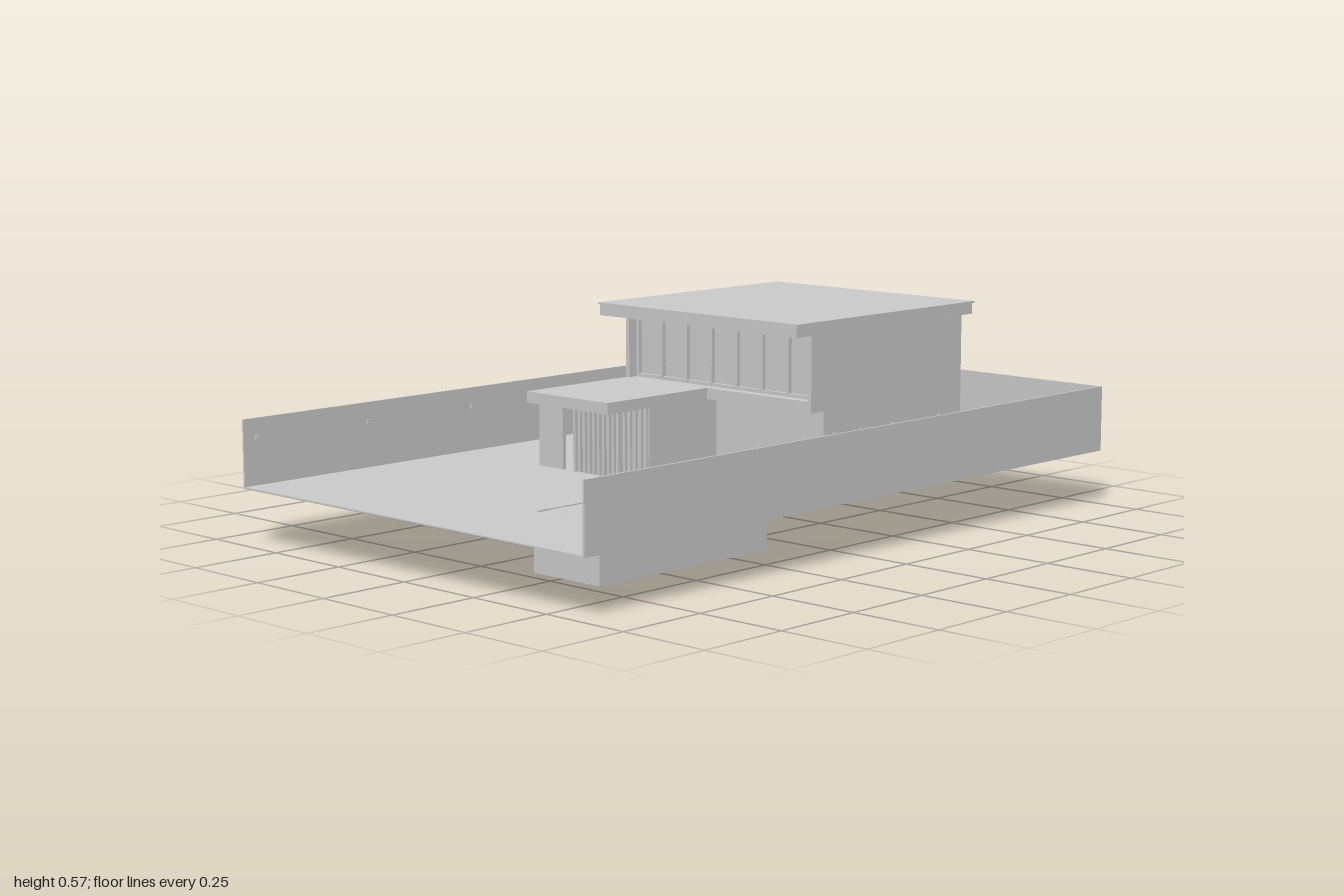
import * as THREE from 'three';

const material = new THREE.MeshStandardMaterial({ color: 0xcccccc, flatShading: true });

// Box given by its limits on each axis
function box(parent, name, [x0, x1], [y0, y1], [z0, z1]) {
  const mesh = new THREE.Mesh(new THREE.BoxGeometry(x1 - x0, y1 - y0, z1 - z0), material);
  mesh.position.set((x0 + x1) / 2, (y0 + y1) / 2, (z0 + z1) / 2);
  mesh.name = name;
  parent.add(mesh);
  return mesh;
}

function section(parent, name) {
  const group = new THREE.Group();
  group.name = name;
  parent.add(group);
  return group;
}

function rectangle(Type, [x0, x1], [z0, z1]) {
  return new Type().moveTo(x0, -z0).lineTo(x0, -z1).lineTo(x1, -z1).lineTo(x1, -z0).closePath();
}

// Flat slab with a rectangular opening, extruded upward
function openSlab(parent, name, outer, inner, [y0, y1]) {
  const shape = rectangle(THREE.Shape, ...outer);
  shape.holes.push(rectangle(THREE.Path, ...inner));
  const geometry = new THREE.ExtrudeGeometry(shape, { depth: y1 - y0, bevelEnabled: false });
  geometry.rotateX(-Math.PI / 2).translate(0, y0, 0);
  const mesh = new THREE.Mesh(geometry, material);
  mesh.name = name;
  parent.add(mesh);
}

function buildPlot(model) {
  const plot = section(model, 'plot');
  const basin = [[-0.705, -0.115], [0.155, 0.375]];
  openSlab(plot, 'lawn', [[-1, 1], [-0.627, 0.627]], basin, [0.15, 0.154]);

  // Boundary walls on three sides
  box(plot, 'frontBoundaryWall', [-1, 1], [0.15, 0.33], [0.621, 0.627]);
  box(plot, 'backBoundaryWall', [-1, 1], [0.15, 0.33], [-0.627, -0.621]);
  box(plot, 'sideBoundaryWall', [0.993, 1], [0.15, 0.33], [-0.621, 0.621]);
  for (const side of [-1, 1]) {
    for (let i = 0; i < 6; i++) {
      const x = -0.96 + i * 0.37;
      const z = side * 0.618;
      box(plot, 'boundaryLight', [x - 0.004, x + 0.004], [0.272, 0.284], [z - 0.003, z + 0.003]);
    }
  }
  for (let i = 0; i < 5; i++) {
    const z = -0.27 + i * 0.09;
    box(plot, 'groundLight', [0.742, 0.75], [0.154, 0.157], [z - 0.004, z + 0.004]);
  }

  // Pool tub below the lawn
  const pool = section(plot, 'pool');
  openSlab(pool, 'poolWalls', [[-0.71, -0.11], [0.15, 0.38]], basin, [0, 0.1535]);
  box(pool, 'poolFloor', [-0.705, -0.115], [0, 0.005], [0.155, 0.375]);

  // Rippled water surface
  const water = new THREE.PlaneGeometry(0.59, 0.22, 48, 20).rotateX(-Math.PI / 2);
  const p = water.attributes.position;
  for (let i = 0; i < p.count; i++) {
    const x = p.getX(i), z = p.getZ(i);
    p.setY(i, 0.0012 * (Math.sin(25 * x + 60 * z) + Math.sin(70 * z - 18 * x + 2 * Math.sin(30 * x))));
  }
  water.computeVertexNormals();
  const surface = new THREE.Mesh(water, material);
  surface.position.set(-0.41, 0.15, 0.265);
  surface.name = 'water';
  pool.add(surface);

  // Ladder handrails
  for (const x of [-0.422, -0.392]) {
    const curve = new THREE.CatmullRomCurve3([
      [0.138, 0.152], [0.138, 0.172], [0.147, 0.18], [0.16, 0.172], [0.162, 0.12],
    ].map(([z, y]) => new THREE.Vector3(x, y, z)));
    const rail = new THREE.Mesh(new THREE.TubeGeometry(curve, 20, 0.0025, 6), material);
    rail.name = 'ladderRail';
    pool.add(rail);
  }
  for (const y of [0.125, 0.142]) box(pool, 'ladderRung', [-0.422, -0.392], [y, y + 0.003], [0.159, 0.165]);
}

function buildGroundFloor(house) {
  const floor = section(house, 'groundFloor');
  const y = [0.154, 0.33];
  box(floor, 'mainRooms', [0.13, 0.63], y, [-0.31, 0.355]);
  box(floor, 'entranceHall', [-0.13, 0.13], y, [-0.31, -0.02]);
  box(floor, 'frontWall', [0.125, 0.70], y, [0.355, 0.366]);

  // Porch screen with upright slats
  box(floor, 'porchPier', [-0.255, -0.243], y, [-0.31, -0.22]);
  for (let i = 0; i < 10; i++) {
    const z = -0.18 + i * 0.018;
    box(floor, 'porchSlat', [-0.255, -0.24], y, [z, z + 0.008]);
  }
  for (let i = 0; i < 6; i++) {
    const x = -0.25 + i * 0.02;
    box(floor, 'porchSlat', [x, x + 0.009], y, [-0.025, -0.012]);
  }

  // Small lights on the front wall
  for (const x of [0.16, 0.27, 0.4, 0.6]) {
    box(floor, 'wallLight', [x, x + 0.008], [0.262, 0.27], [0.366, 0.37]);
  }
}

function buildUpperFloor(house) {
  const floor = section(house, 'upperFloor');
  box(floor, 'floorSlab', [0.075, 0.70], [0.33, 0.36], [-0.31, 0.366]);
  box(floor, 'porchCanopy', [-0.30, 0.075], [0.33, 0.36], [-0.31, -0.005]);

  const y = [0.36, 0.54];
  box(floor, 'frontWall', [0.075, 0.70], y, [0.355, 0.366]);
  box(floor, 'backWall', [0.075, 0.70], y, [-0.31, -0.298]);
  box(floor, 'sideWall', [0.688, 0.70], y, [-0.298, 0.355]);

  // Recessed window front with mullions and rails
  const windows = section(floor, 'windows');
  box(windows, 'glass', [0.115, 0.12], y, [-0.298, 0.355]);
  for (let i = 0; i < 8; i++) {
    const z = -0.298 + i * 0.0919;
    box(windows, 'mullion', [0.103, 0.121], y, [z, z + 0.009]);
  }
  for (const h of [0.36, 0.531]) box(windows, 'windowRail', [0.104, 0.12], [h, h + 0.009], [-0.298, 0.355]);
}

function buildRoof(house) {
  const roof = section(house, 'roof');
  box(roof, 'fascia', [-0.025, 0.70], [0.54, 0.57], [-0.31, 0.402]);
  box(roof, 'roofCap', [-0.028, 0.703], [0.57, 0.575], [-0.315, 0.407]);
  // Downlights in the soffit
  for (let i = 0; i < 6; i++) {
    const x = 0.02 + i * 0.12;
    box(roof, 'soffitLight', [x, x + 0.01], [0.537, 0.54], [0.38, 0.39]);
  }
}

export function createModel() {
  const model = new THREE.Group();
  model.name = 'houseWithPool';
  buildPlot(model);
  const house = section(model, 'house');
  buildGroundFloor(house);
  buildUpperFloor(house);
  buildRoof(house);
  return model;
}
